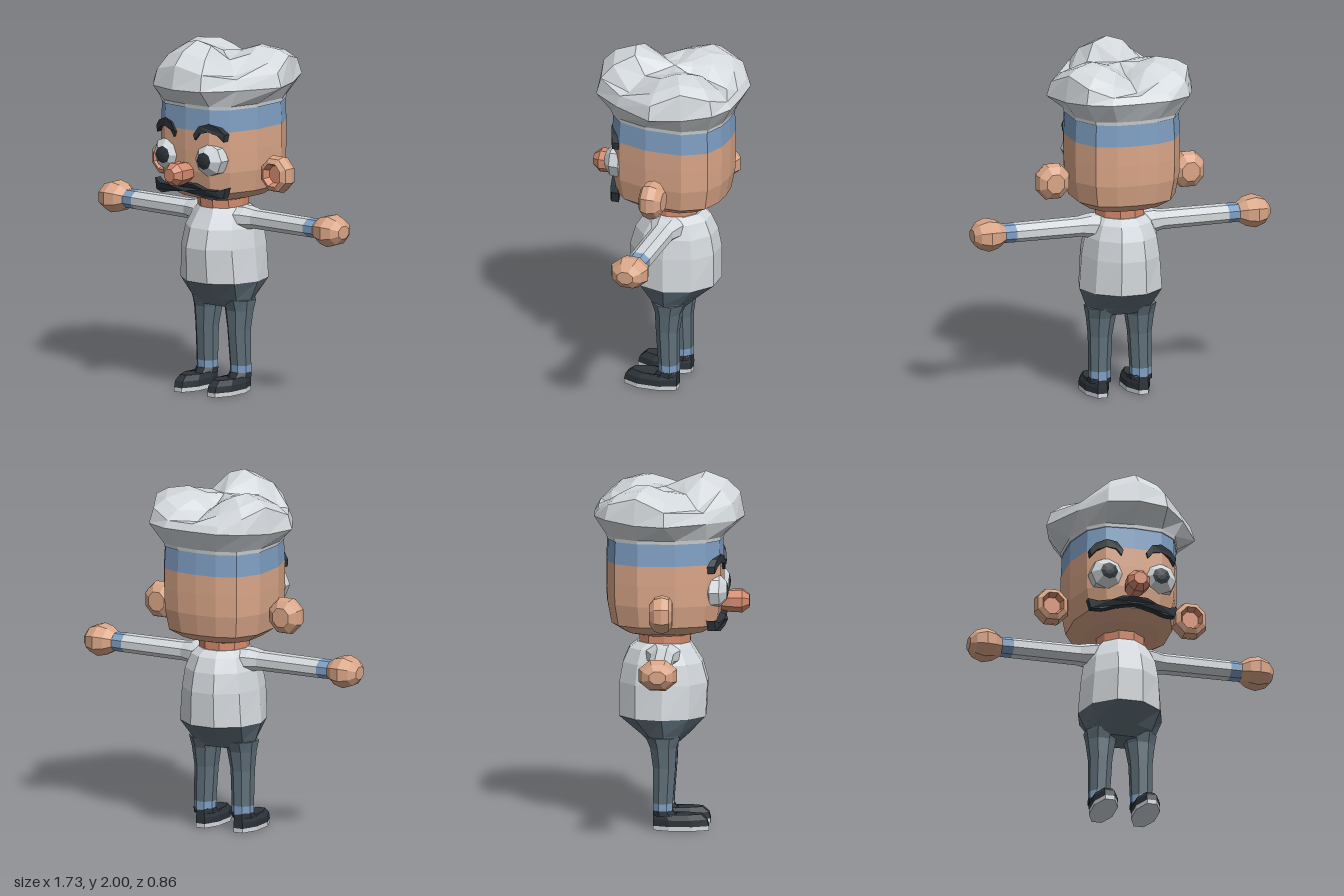
import * as THREE from 'three';

const mat = (name, color) => Object.assign(new THREE.MeshStandardMaterial({ color }), { name });

// Closed outline from half a section, listed front to back as [x, z]
const mirrorOutline = (half) => [...half, ...half.slice(1, -1).reverse().map(([x, z]) => [-x, z])];

// Faceted oval ring at height y, filling the given width and front/back limits
function oval(y, rx, zf, zb, n = 8, cx = 0) {
  const angles = Array.from({ length: n }, (_, k) => ((k + 0.5) / n) * Math.PI * 2);
  const mx = Math.max(...angles.map(Math.sin)), mz = Math.max(...angles.map(Math.cos));
  return angles.map((a) => [cx + (rx * Math.sin(a)) / mx, y, (zf + zb) / 2 + ((zf - zb) / 2) * (Math.cos(a) / mz)]);
}

// Skin a stack of equal-count rings with flat facets, with optional end caps
function loft(rings, capStart = true, capEnd = true) {
  const pos = [];
  const tri = (a, b, c) => pos.push(...a, ...b, ...c);
  const n = rings[0].length;
  for (let i = 0; i < rings.length - 1; i++) {
    for (let j = 0; j < n; j++) {
      const k = (j + 1) % n, a = rings[i], b = rings[i + 1];
      tri(a[j], a[k], b[k]);
      tri(a[j], b[k], b[j]);
    }
  }
  const cap = (ring, up) => {
    const c = [0, 1, 2].map((d) => ring.reduce((s, p) => s + p[d], 0) / n);
    ring.forEach((p, j) => (up ? tri(p, ring[(j + 1) % n], c) : tri(ring[(j + 1) % n], p, c)));
  };
  if (capStart) cap(rings[0], false);
  if (capEnd) cap(rings[rings.length - 1], true);
  const g = new THREE.BufferGeometry();
  g.setAttribute('position', new THREE.Float32BufferAttribute(pos, 3));
  g.computeVertexNormals();
  return g;
}

function flat(geometry) {
  const g = geometry.index ? geometry.toNonIndexed() : geometry;
  g.computeVertexNormals();
  return g;
}

// Plate cut from an outline and wrapped onto the curved face
function facePiece(points, depth) {
  const g = new THREE.ExtrudeGeometry(new THREE.Shape(points.map(([x, y]) => new THREE.Vector2(x, y))), { depth, bevelEnabled: false });
  const p = g.attributes.position;
  for (let i = 0; i < p.count; i++) p.setZ(i, p.getZ(i) + 0.265 - p.getX(i) ** 2);
  return flat(g);
}

export function createModel() {
  const model = new THREE.Group();
  model.name = 'chefFigure';
  const white = mat('white cloth', 0xd3d8dc), skin = mat('skin', 0xdaa688), pink = mat('flushed skin', 0xd48b6e);
  const blue = mat('blue trim', 0x7f9fc3), slate = mat('slate trousers', 0x5f6f79), dark = mat('near black', 0x2d343a);
  const add = (name, geometry, material, parent = model) => {
    const m = new THREE.Mesh(geometry, material);
    m.name = name;
    parent.add(m);
    return m;
  };

  // Head, with the blue hair band above it
  const headOutline = mirrorOutline([[0, 0.29], [0.16, 0.275], [0.25, 0.2], [0.305, 0.03], [0.305, -0.18], [0.23, -0.31], [0.12, -0.355], [0, -0.365]]);
  const headRing = ([y, s]) => headOutline.map(([x, z]) => [x * s, y, -0.04 + (z + 0.04) * s]);
  add('head', loft([[1.085, 0.4], [1.11, 0.68], [1.16, 0.92], [1.28, 0.99], [1.4, 1], [1.51, 1]].map(headRing)), skin);
  add('hairBand', loft([[1.51, 1], [1.64, 0.98]].map(headRing)), blue);

  // Puffy hat: flared brim and a crown swelling into three lobes
  const hatOutline = mirrorOutline([[0, 0.405], [0.17, 0.365], [0.3, 0.2], [0.425, -0.03], [0.37, -0.2], [0.3, -0.36], [0.17, -0.425], [0, -0.43]]);
  const lobes = [[0, 0.19, 2, 0.25, 0.277], [0.2, -0.15, 1.95, 0.2, 0.3], [-0.2, -0.15, 1.95, 0.2, 0.3]];
  const crownY = (x, z) => Math.max(1.81, ...lobes.map(([cx, cz, top, h, r]) => top - h * ((x - cx) ** 2 + (z - cz) ** 2) / r ** 2));
  const crownRing = (s) => hatOutline.map(([x, z]) => {
    const px = x * s, pz = -0.03 + (z + 0.03) * s;
    return [px, crownY(px, pz), pz];
  });
  add('hat', loft([
    headRing([1.635, 1]), headRing([1.655, 1.01]),
    hatOutline.map(([x, z]) => [x, z < -0.3 ? 1.77 : 1.75, z]),
    ...[0.94, 0.78, 0.5, 0.25].map(crownRing),
  ]), white);

  // Facial features
  const nose = add('nose', loft([[0.25, 0.045], [0.32, 0.06], [0.39, 0.063], [0.43, 0.035]].map(([y, r]) => oval(y, r, r, -r))), pink);
  nose.rotation.x = Math.PI / 2;
  nose.position.y = 1.27;
  const halfLip = [[0, 1.21], [0.07, 1.21], [0.13, 1.185], [0.2, 1.18], [0.255, 1.2], [0.24, 1.14], [0.18, 1.13], [0.1, 1.15], [0, 1.165]];
  add('moustache', facePiece([...halfLip, ...halfLip.slice(1, -1).reverse().map(([x, y]) => [-x, y])], 0.045), dark);
  const browOutline = [[0.065, 1.49], [0.1, 1.54], [0.155, 1.557], [0.215, 1.535], [0.245, 1.5], [0.24, 1.46], [0.205, 1.495], [0.155, 1.51], [0.105, 1.498], [0.075, 1.46]];

  for (const side of [1, -1]) {
    const label = side > 0 ? 'left' : 'right';
    add(label + 'Brow', facePiece(browOutline.map(([x, y]) => [x * side, y]), 0.04), dark);

    // Eye: faceted ball pointing forward with a dark cap
    const eye = new THREE.Group();
    eye.name = label + 'Eye';
    eye.position.set(side * 0.148, 1.352, 0.235);
    eye.rotation.x = Math.PI / 2;
    eye.scale.set(0.103, 0.085, 0.103);
    add('eyeball', flat(new THREE.SphereGeometry(1, 8, 4, 0, Math.PI * 2, 0.5, Math.PI - 0.5)), white, eye);
    add('pupil', flat(new THREE.SphereGeometry(1, 8, 1, 0, Math.PI * 2, 0, 0.5)), dark, eye);
    model.add(eye);

    // Ear: rounded disc with a flushed hollow facing forward
    const ear = new THREE.Group();
    ear.name = label + 'Ear';
    ear.position.set(side * 0.395, 1.258, 0);
    ear.rotation.x = Math.PI / 2;
    const round = ([y, r]) => oval(y, r, r * 1.06, -r * 1.06);
    add('earShell', loft([[-0.11, 0.05], [-0.08, 0.085], [-0.04, 0.096], [0, 0.085], [0.018, 0.06]].map(round), true, false), skin, ear);
    add('earHollow', loft([[0.018, 0.06], [-0.02, 0.045]].map(round), false, true), pink, ear);
    model.add(ear);

    // Arm, cuff and fist, laid out sideways
    const arm = new THREE.Group();
    arm.name = label + 'Arm';
    arm.position.set(0, 0.985, -0.045);
    arm.rotation.z = -side * Math.PI / 2;
    const tube = ([y, rx, rz]) => oval(y, rx, rz, -rz);
    add('sleeve', loft([[0.1, 0.06, 0.11], [0.18, 0.062, 0.085], [0.24, 0.052, 0.064], [0.62, 0.05, 0.062]].map(tube)), white, arm);
    add('cuff', loft([[0.62, 0.05, 0.062], [0.69, 0.049, 0.06]].map(tube)), blue, arm);
    add('hand', loft([[0.685, 0.05, 0.06], [0.725, 0.074, 0.09], [0.78, 0.086, 0.106], [0.835, 0.068, 0.085], [0.865, 0.035, 0.045]].map(tube)), skin, arm);
    model.add(arm);

    // Leg, sock, shoe and sole
    const x = side * 0.12;
    add(label + 'Leg', loft([oval(0.15, 0.058, 0.01, -0.1, 8, x), oval(0.35, 0.063, 0.025, -0.1, 8, side * 0.115), oval(0.46, 0.078, 0.03, -0.115, 8, side * 0.112), oval(0.52, 0.09, 0.05, -0.14, 8, side * 0.11)]), slate);
    add(label + 'Sock', loft([oval(0.1, 0.058, 0.008, -0.1, 8, x), oval(0.15, 0.058, 0.01, -0.1, 8, x)]), blue);
    add(label + 'Shoe', loft([[0.024, 0.067, 0.21, -0.1], [0.06, 0.068, 0.2, -0.1], [0.09, 0.055, 0.165, -0.099], [0.08, 0.062, 0.03, -0.1], [0.11, 0.06, 0.008, -0.1]].map(([y, rx, zf, zb]) => oval(y, rx, zf, zb, 8, x))), dark);
    add(label + 'Sole', loft([0, 0.024].map((y) => oval(y, 0.067, 0.21, -0.1, 8, x))), white);
  }

  // Neck, shirt and the top of the trousers
  const body = ([y, rx, zf, zb]) => oval(y, rx, zf, zb, 10);
  add('neck', loft([[1.02, 0.14, 0.1, -0.18], [1.12, 0.14, 0.11, -0.18]].map(body)), pink);
  add('shirt', loft([[0.63, 0.24, 0.19, -0.29], [0.82, 0.225, 0.2, -0.29], [0.93, 0.208, 0.17, -0.27], [1.01, 0.175, 0.12, -0.235], [1.045, 0.14, 0.1, -0.19]].map(body)), white);
  add('trouserTop', loft([[0.48, 0.185, 0.04, -0.125], [0.53, 0.2, 0.095, -0.175], [0.63, 0.24, 0.19, -0.29]].map(body)), slate);
  return model;
}
